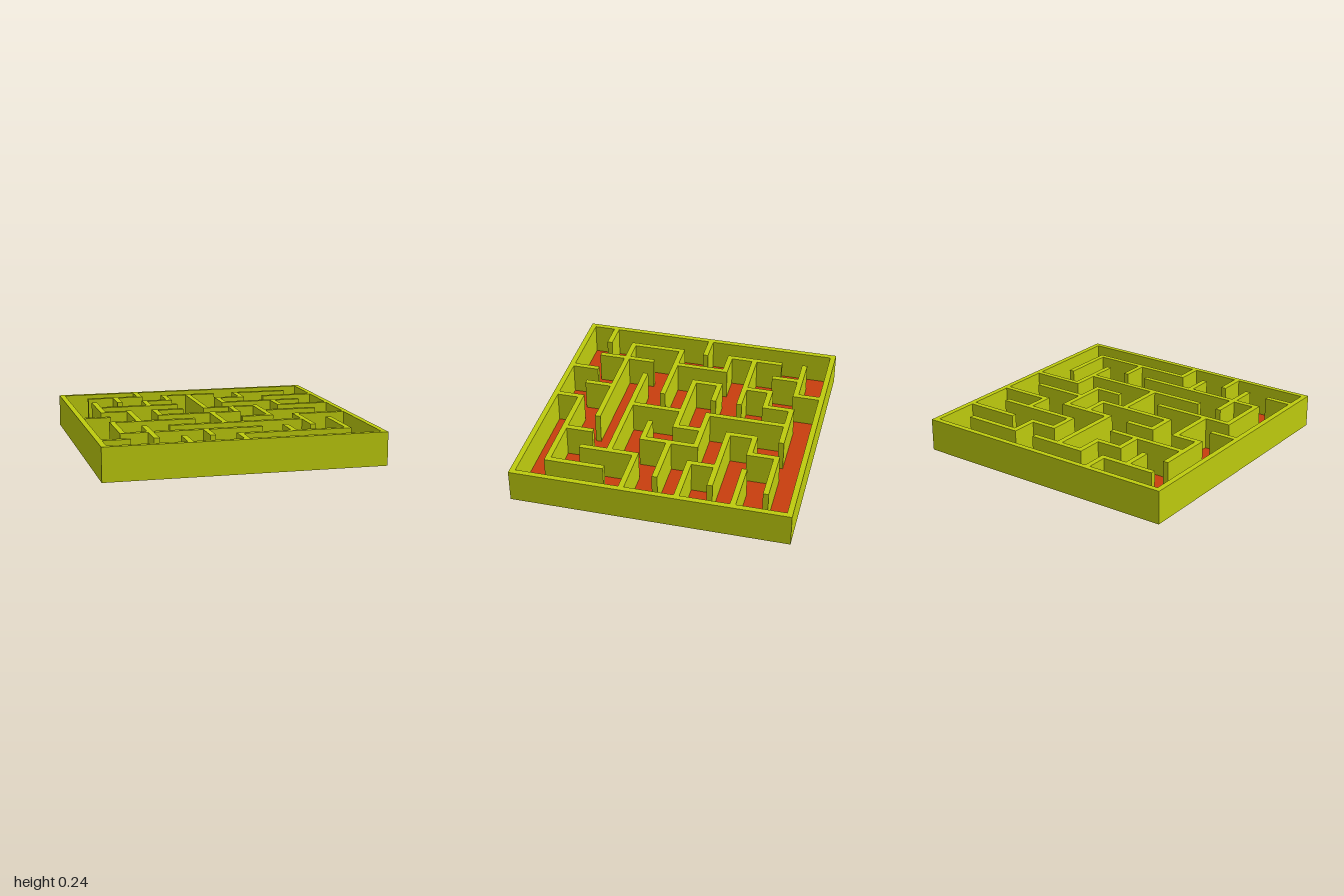
import * as THREE from 'three';

const PITCH = 0.196, THICK = 0.04, HEIGHT = 0.24;

// Walls lie on an 11 x 11 lattice: entry n lists [from, to] spans along line n
const ROWS = [
  [[0, 10]],
  [[1, 3], [4, 6], [7, 9]],
  [[3, 4], [6, 7], [8, 10]],
  [[1, 4], [6, 9]],
  [[1, 2], [3, 4], [5, 7], [8, 10]],
  [[0, 1], [3, 6], [7, 9]],
  [[1, 4], [6, 7], [8, 10]],
  [[3, 8]],
  [[1, 6]],
  [[0, 1], [5, 9]],
  [[0, 10]],
];
const COLUMNS = [
  [[0, 10]],
  [[2, 4], [6, 8]],
  [[1, 2], [4, 6], [7, 9]],
  [[0, 1], [2, 3], [4, 5], [9, 10]],
  [[1, 2], [8, 9]],
  [[1, 4], [5, 7], [9, 10]],
  [[2, 3], [4, 5]],
  [[1, 2], [4, 6], [8, 9]],
  [[3, 4], [6, 8]],
  [[7, 9]],
  [[0, 10]],
];

const at = (n) => (n - 5) * PITCH;

export function createModel() {
  const maze = new THREE.Group();
  maze.name = 'maze';
  const wallMaterial = new THREE.MeshStandardMaterial({ color: 0xbecb0e });
  const floorMaterial = new THREE.MeshStandardMaterial({ color: 0xc83e0e });

  // Thin floor inside the border
  const floor = new THREE.Mesh(new THREE.BoxGeometry(1.92, 0.008, 1.92), floorMaterial);
  floor.name = 'floor';
  floor.position.y = 0.005;
  maze.add(floor);

  // Border and inner walls
  const addWalls = (lines, alongX) => {
    lines.forEach((spans, line) => {
      for (const [from, to] of spans) {
        const length = (to - from) * PITCH + THICK;
        const middle = at((from + to) / 2);
        const wall = new THREE.Mesh(
          new THREE.BoxGeometry(alongX ? length : THICK, HEIGHT, alongX ? THICK : length),
          wallMaterial
        );
        wall.name = line === 0 || line === 10 ? 'borderWall' : 'innerWall';
        wall.position.set(alongX ? middle : at(line), HEIGHT / 2, alongX ? at(line) : middle);
        maze.add(wall);
      }
    });
  };
  addWalls(ROWS, true);
  addWalls(COLUMNS, false);

  return maze;
}
